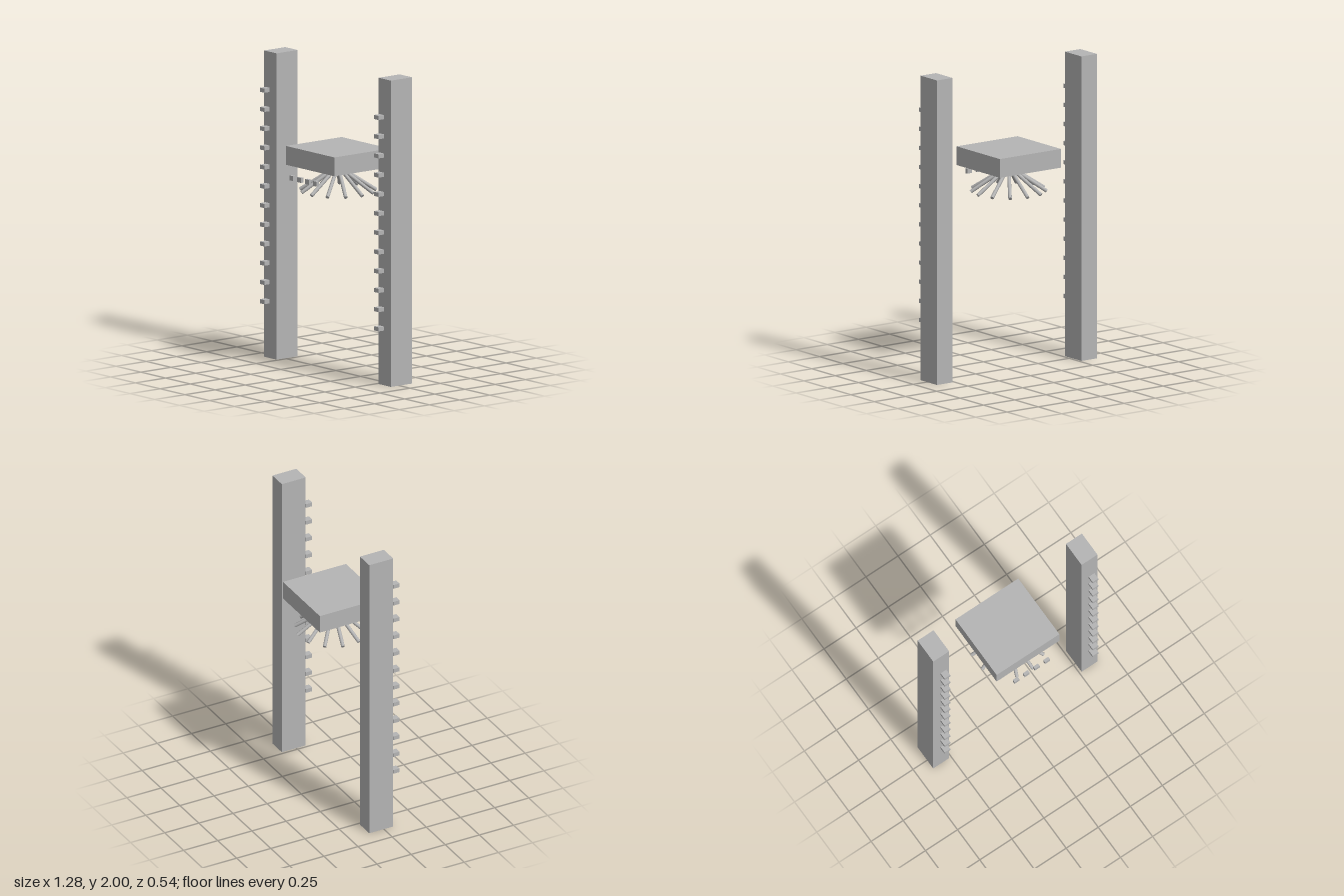
import * as THREE from 'three';

const grey = new THREE.MeshStandardMaterial({ color: 0xb4b4b4 });
grey.name = 'grey';

function addBox(parent, name, size, position) {
  const mesh = new THREE.Mesh(new THREE.BoxGeometry(...size), grey);
  mesh.name = name;
  mesh.position.set(...position);
  parent.add(mesh);
}

export function createModel() {
  const model = new THREE.Group();
  model.name = 'towersAndPod';

  // Twin towers, each with a column of small blocks in front
  for (const side of [-1, 1]) {
    const tower = new THREE.Group();
    tower.name = side > 0 ? 'leftTower' : 'rightTower';
    addBox(tower, 'column', [0.124, 2, 0.175], [side * 0.578, 1, -0.019]);
    for (let i = 0; i < 12; i++) {
      addBox(tower, 'columnBlock', [0.044, 0.027, 0.045], [side * 0.577, 0.378 + i * 0.1255, 0.115]);
    }
    model.add(tower);
  }

  // Slab hanging between the towers
  addBox(model, 'slab', [0.489, 0.123, 0.462], [-0.001, 1.394, -0.019]);

  // Row of small blocks in front of the rods
  for (let i = 0; i < 4; i++) {
    addBox(model, 'frontBlock', [0.038, 0.032, 0.02], [-0.125 + i * 0.0793, 1.27, 0.257]);
  }

  // Fan of sloping rods under the slab
  const rods = new THREE.Group();
  rods.name = 'rodFan';
  const count = 13;
  const apex = new THREE.Vector3(0, 1.335, -0.018);
  const up = new THREE.Vector3(0, 1, 0);
  for (let i = 0; i < count; i++) {
    const a = (i / count) * Math.PI * 2;
    const tip = new THREE.Vector3(Math.cos(a) * 0.246, 1.175, apex.z + Math.sin(a) * 0.246);
    const along = tip.clone().sub(apex);
    const geometry = new THREE.CylinderGeometry(0.012, 0.012, along.length(), 8);
    const rod = new THREE.Mesh(geometry, grey);
    rod.name = 'rod';
    rod.position.copy(apex).add(tip).multiplyScalar(0.5);
    rod.quaternion.setFromUnitVectors(up, along.normalize());
    rods.add(rod);
  }
  model.add(rods);

  return model;
}
